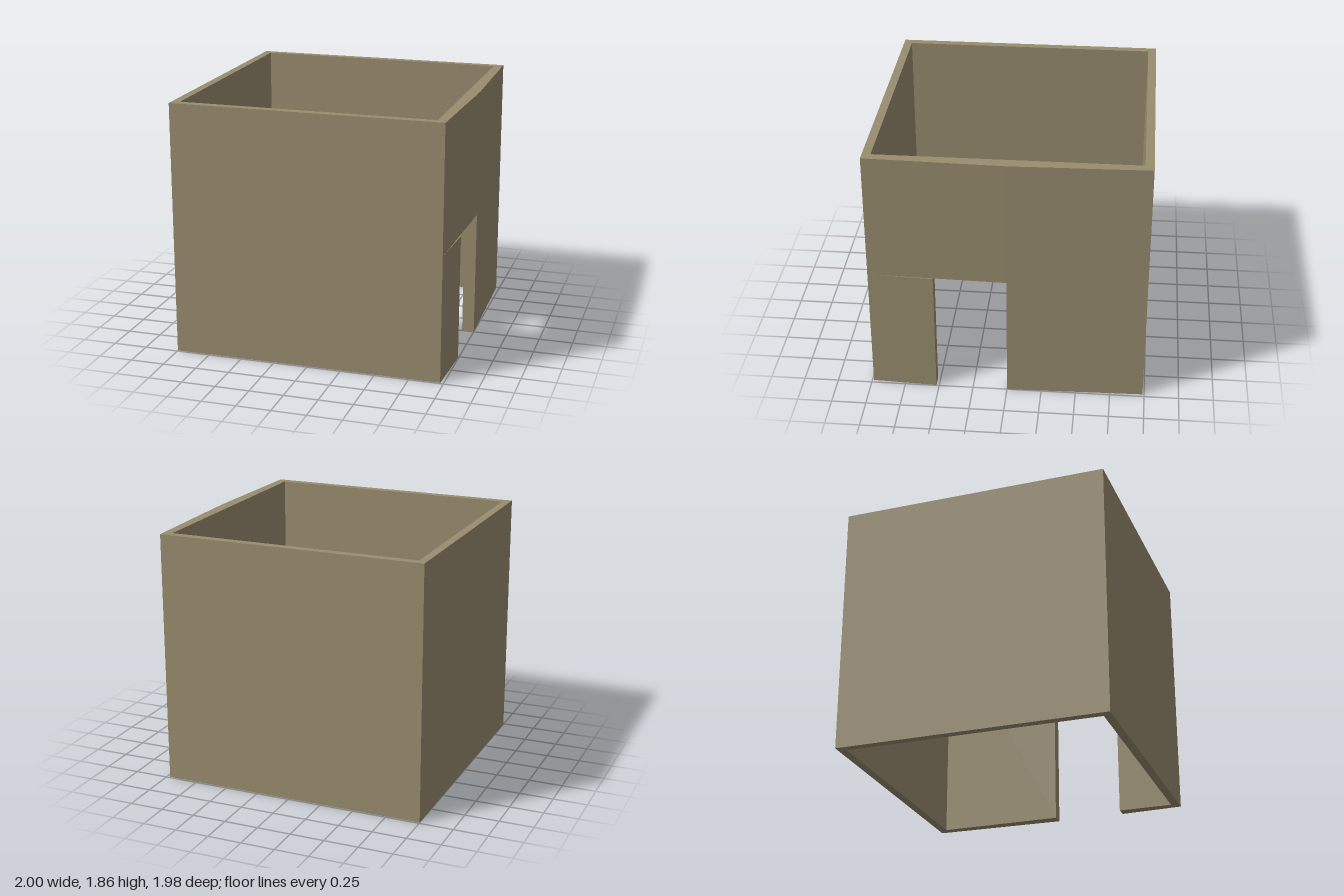
import * as THREE from 'three';

export function createModel() {
  const group = new THREE.Group();
  group.name = 'roomShell';
  const plaster = new THREE.MeshStandardMaterial({ color: 0x998d6f });
  plaster.name = 'tan plaster';

  const height = 1.86, doorTop = 0.93, doorFront = 0.52;
  const zo = 0.988, zi = 0.927; // outer and inner wall faces, front and back
  const xi = 0.91, corner = 0.975, ridge = 1.0; // door wall: inner face, corners, middle crease

  // Extrude a floor plan of [x, z] points between two heights
  function wall(name, plan, y0, y1) {
    const shape = new THREE.Shape(plan.map(([x, z]) => new THREE.Vector2(x, -z)));
    const geo = new THREE.ExtrudeGeometry(shape, { depth: y1 - y0, bevelEnabled: false });
    geo.rotateX(-Math.PI / 2);
    geo.translate(0, y0, 0);
    const mesh = new THREE.Mesh(geo, plaster);
    mesh.name = name;
    group.add(mesh);
  }

  // Front, right and back walls, with the full-height rear half of the door wall
  wall('mainWalls', [
    [corner, zo], [-1, zo], [-1, -zo], [corner, -zo], [ridge, 0],
    [xi, 0], [xi, -zi], [-0.94, -zi], [-0.94, zi], [xi, zi],
  ], 0, height);

  // Wall above the doorway, tapering to the front corner
  wall('doorLintel', [[xi, 0], [ridge, 0], [corner, zo], [xi, zi]], doorTop, height);

  // Pier in front of the doorway, standing slightly proud of the lintel
  wall('doorPier', [[xi, doorFront], [0.996, doorFront], [corner, zo], [xi, zi]], 0, doorTop);

  return group;
}
